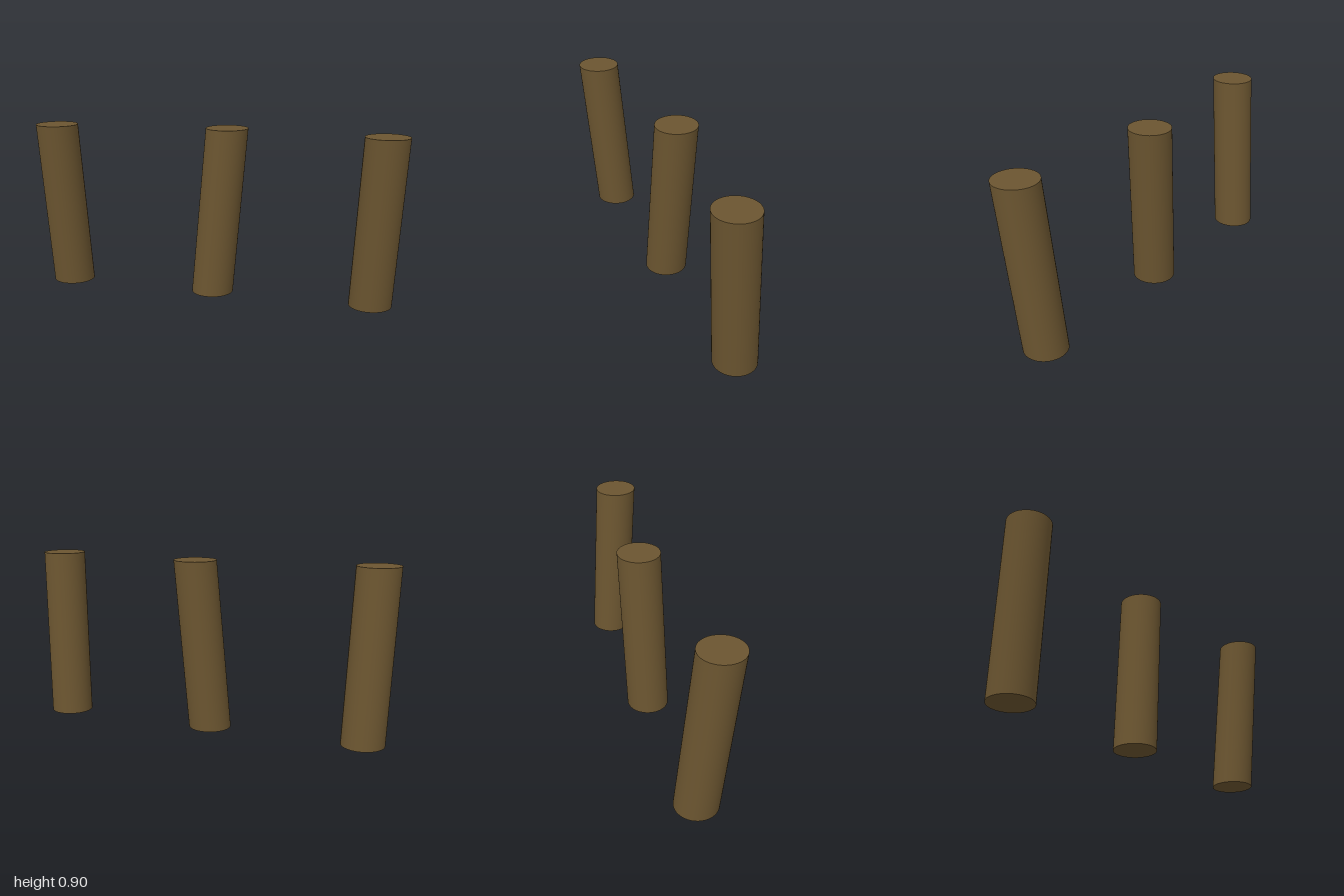
import * as THREE from 'three';

const HEIGHT = 0.905;
const RADIUS = 0.113;

// Leaning post with level ends: an upright cylinder sheared from base to top centre.
function createPost(name, [bx, bz], [tx, tz], material) {
  const geometry = new THREE.CylinderGeometry(RADIUS, RADIUS, HEIGHT, 48);
  geometry.translate(0, HEIGHT / 2, 0);
  const shear = new THREE.Matrix4().set(
    1, (tx - bx) / HEIGHT, 0, bx,
    0, 1, 0, 0,
    0, (tz - bz) / HEIGHT, 1, bz,
    0, 0, 0, 1
  );
  geometry.applyMatrix4(shear);
  const post = new THREE.Mesh(geometry, material);
  post.name = name;
  return post;
}

export function createModel() {
  const model = new THREE.Group();
  model.name = 'leaningPosts';
  const wood = new THREE.MeshStandardMaterial({ color: 0x6b5530 });

  // Base and top centres as [x, z]
  model.add(
    createPost('rightPost', [-0.858, -0.02], [-0.887, 0.054], wood),
    createPost('middlePost', [-0.027, -0.03], [0.047, -0.055], wood),
    createPost('leftPost', [0.835, -0.036], [0.887, 0.027], wood)
  );
  return model;
}
